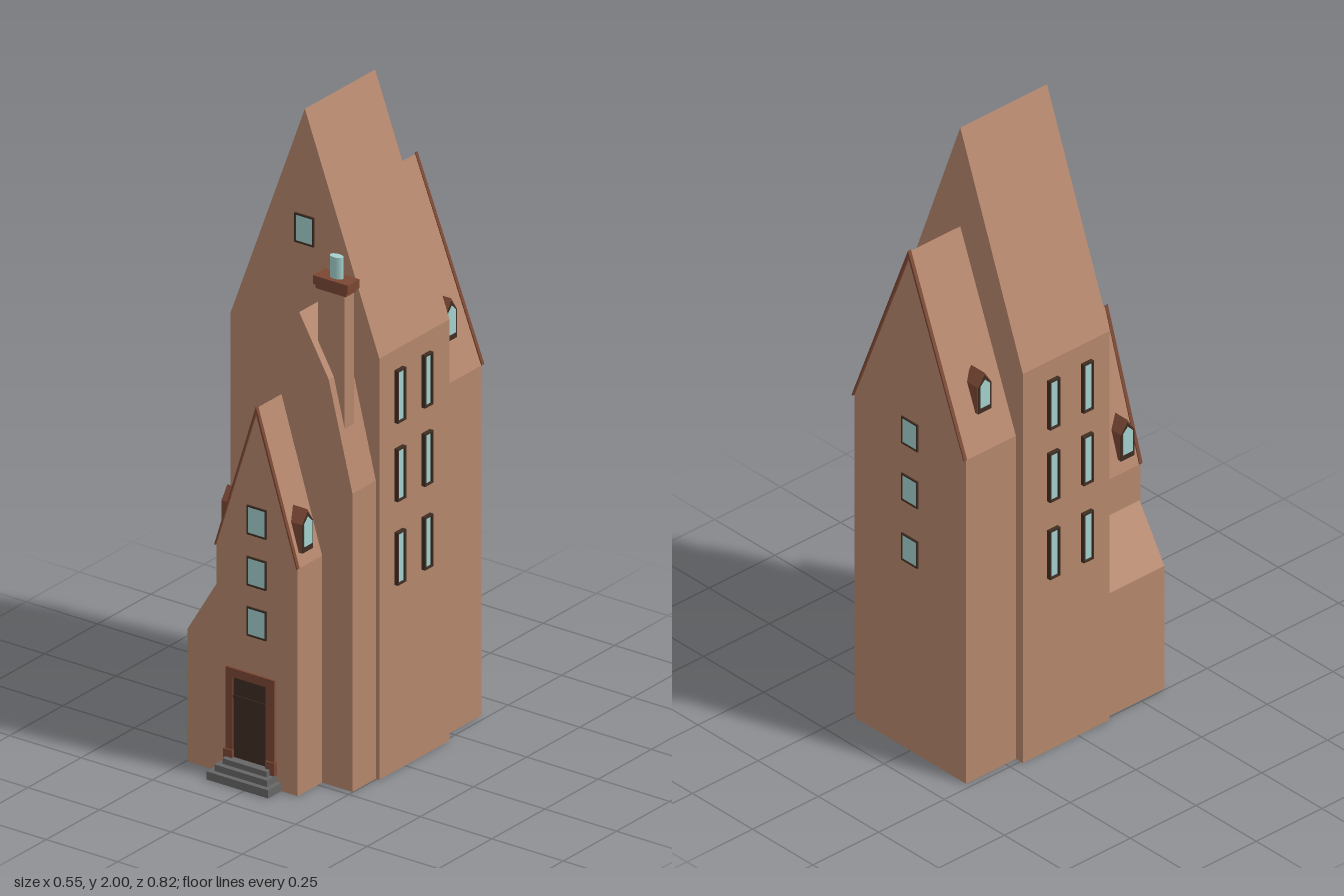
import * as THREE from 'three';

const mat = (name, color) => {
  const m = new THREE.MeshStandardMaterial({ color });
  m.name = name;
  return m;
};

export function createModel() {
  const house = new THREE.Group();
  house.name = 'house';
  const wall = mat('clay wall', 0xb4866c);
  const brick = mat('red brown trim', 0x7a4733);
  const dark = mat('dark wood', 0x3f2d22);
  const glass = mat('pale glass', 0xa3d0cd);
  const stone = mat('grey stone', 0x666666);

  const add = (name, geo, material, parent = house) => {
    const mesh = new THREE.Mesh(geo, material);
    mesh.name = name;
    parent.add(mesh);
    return mesh;
  };

  // Box given by its limits
  const box = (name, x0, x1, y0, y1, z0, z1, material, parent) => {
    const m = add(name, new THREE.BoxGeometry(x1 - x0, y1 - y0, z1 - z0), material, parent);
    m.position.set((x0 + x1) / 2, (y0 + y1) / 2, (z0 + z1) / 2);
    return m;
  };

  // Outline in x,y pulled from z0 to z1
  const outline = pts => new THREE.Shape(pts.map(p => new THREE.Vector2(p[0], p[1])));
  const prism = (name, shape, z0, z1, material, parent) => {
    const geo = new THREE.ExtrudeGeometry(shape, { depth: z1 - z0, bevelEnabled: false });
    geo.translate(0, 0, z0);
    return add(name, geo, material, parent);
  };

  // Gabled blocks
  const gable = (w, eave, top) => outline([[-w, 0], [w, 0], [w, eave], [0, top], [-w, eave]]);
  prism('mainTower', gable(0.26, 1.3, 2), -0.21, 0.12, wall);
  prism('backWing', gable(0.231, 1.08, 1.67), -0.4, -0.2, wall);
  prism('frontWing', gable(0.142, 0.7, 1.16), 0.11, 0.345, wall);
  prism('middleGable', outline([[-0.125, 0], [0.248, 0], [0.248, 0.92], [0.165, 1.25],
    [0.062, 1.43], [-0.04, 1.25], [-0.125, 0.92]]), 0.11, 0.23, wall);
  prism('leanTo', outline([[-0.245, 0], [-0.13, 0], [-0.13, 0.6], [-0.245, 0.41]]), 0.11, 0.342, wall);

  // Thin boards along the gable edges
  const verge = (name, w, eave, top, z0, z1) => prism(name, outline([[w, eave], [w + 0.003, eave + 0.003],
    [0, top + 0.005], [-w - 0.003, eave + 0.003], [-w, eave], [0, top - 0.016]]), z0, z1, brick);
  verge('frontVerge', 0.142, 0.7, 1.16, 0.34, 0.351);
  verge('backVerge', 0.231, 1.08, 1.67, -0.409, -0.398);

  // Framed window facing +z at its own origin
  const windowUnit = (name, w, h, depth, bar) => {
    const g = new THREE.Group();
    g.name = name;
    const frame = outline([[-w / 2, -h / 2], [w / 2, -h / 2], [w / 2, h / 2], [-w / 2, h / 2]]);
    const a = w / 2 - bar, b = h / 2 - bar;
    frame.holes.push(new THREE.Path([[-a, -b], [-a, b], [a, b], [a, -b]].map(p => new THREE.Vector2(...p))));
    prism('windowFrame', frame, 0, depth, dark, g);
    box('windowPane', -a, a, -b, b, 0, depth * 0.5, glass, g);
    house.add(g);
    return g;
  };

  for (const y of [0.495, 0.65, 0.808]) {
    windowUnit('frontWindow', 0.068, 0.09, 0.005, 0.005).position.set(0, y, 0.345);
  }
  windowUnit('atticWindow', 0.068, 0.09, 0.006, 0.005).position.set(0, 1.628, 0.12);
  for (const y of [0.67, 0.87, 1.06]) {
    const w = windowUnit('backWindow', 0.068, 0.09, 0.005, 0.005);
    w.position.set(0, y, -0.4);
    w.rotation.y = Math.PI;
  }
  for (const side of [-1, 1]) {
    for (const z of [0.03, -0.098]) {
      for (const y of [0.657, 0.915, 1.157]) {
        const w = windowUnit('sideWindow', 0.039, 0.162, 0.013, 0.005);
        w.position.set(side * 0.26, y, z);
        w.rotation.y = side * Math.PI / 2;
      }
    }
  }

  // Roof dormers, facing outward on both sides
  const arch = (w, h, peak) => outline([[-w, 0], [w, 0], [w, h], [0, peak], [-w, h]]);
  const dormer = (name, side, x, y, z) => {
    const g = new THREE.Group();
    g.name = name;
    prism('dormerBody', arch(0.026, 0.088, 0.128), -0.055, 0, brick, g);
    prism('dormerFrame', arch(0.025, 0.086, 0.12), 0, 0.002, dark, g);
    const pane = prism('dormerPane', arch(0.018, 0.07, 0.088), 0.002, 0.004, glass, g);
    pane.position.y = 0.018;
    g.position.set(side * x, y, z);
    g.rotation.y = side * Math.PI / 2;
    house.add(g);
  };
  for (const side of [-1, 1]) {
    dormer('frontDormer', side, 0.14, 0.74, 0.297);
    dormer('backDormer', side, 0.199, 1.187, -0.3);
  }

  // Chimney: shaft, flared cap and oval pot
  box('chimneyShaft', 0.11, 0.203, 0.9, 1.52, 0.163, 0.206, wall);
  box('chimneyCollar', 0.104, 0.209, 1.508, 1.522, 0.16, 0.209, brick);
  box('chimneyCap', 0.096, 0.218, 1.52, 1.547, 0.156, 0.212, brick);
  const pot = add('chimneyPot', new THREE.CylinderGeometry(0.022, 0.022, 0.07, 24), glass);
  pot.scale.z = 0.6;
  pot.position.set(0.158, 1.578, 0.183);

  // Door with surround, pilaster bases and upper panel
  const surround = outline([[-0.105, 0], [-0.08, 0], [-0.08, 0.31], [0.035, 0.31],
    [0.035, 0], [0.065, 0], [0.065, 0.337], [-0.105, 0.337]]);
  prism('doorSurround', surround, 0.34, 0.353, brick);
  box('door', -0.08, 0.035, 0, 0.31, 0.34, 0.348, dark);
  box('doorRail', -0.08, 0.035, 0.245, 0.255, 0.345, 0.351, dark);
  for (const x of [-0.109, 0.038]) box('pilasterBase', x, x + 0.031, 0.04, 0.085, 0.345, 0.358, brick);

  // Entrance steps
  [[0.108, 0.407, 0.025], [0.092, 0.391, 0.045], [0.077, 0.374, 0.062]].forEach(([w, z, top], i) => {
    box('step' + (i + 1), -0.023 - w, -0.023 + w, i ? top - 0.022 : 0, top, 0.34, z, stone);
  });

  return house;
}
